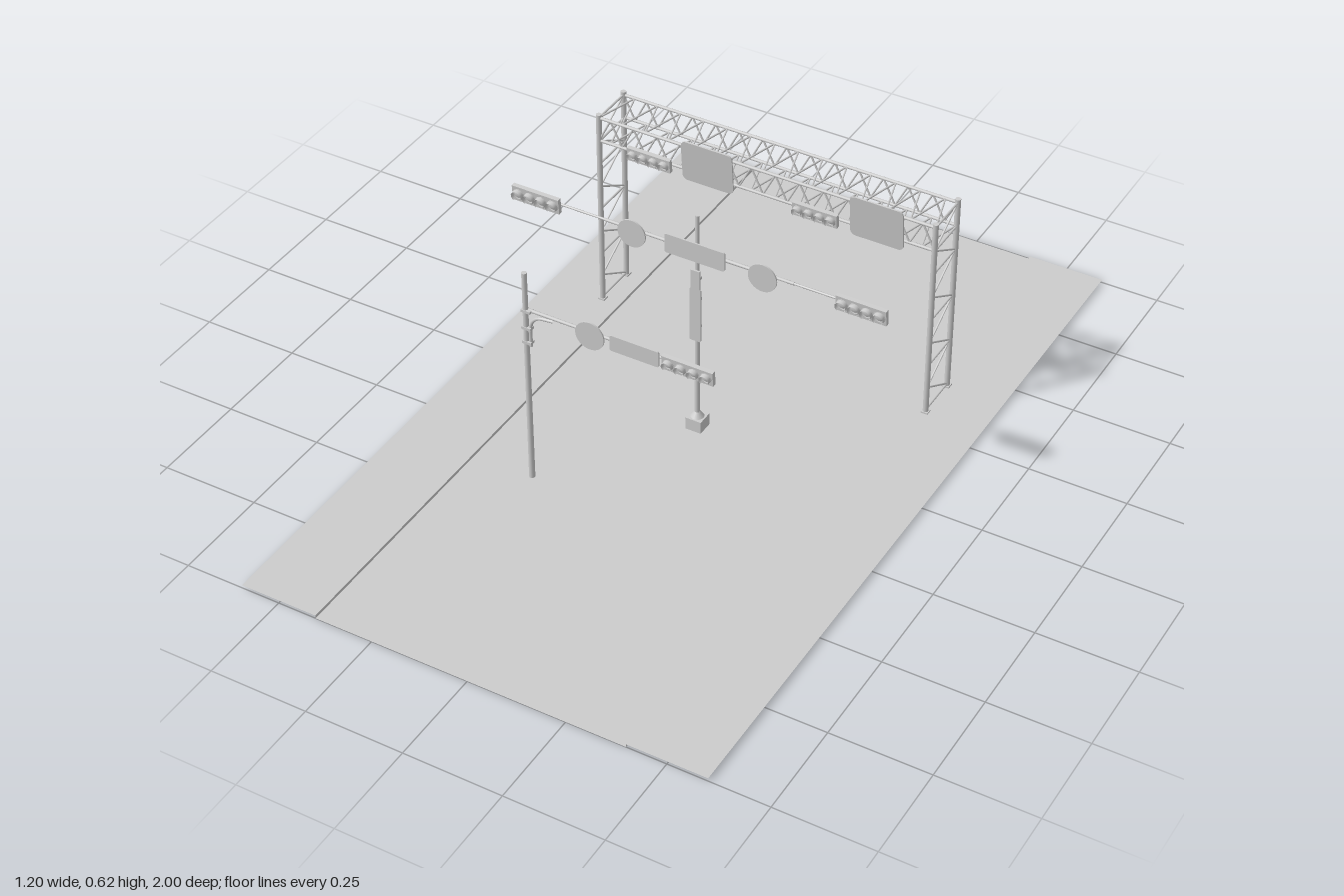
import * as THREE from 'three';

const mat = new THREE.MeshStandardMaterial({ color: 0xcccccc });
const sheetMat = new THREE.MeshStandardMaterial({ color: 0xcccccc, side: THREE.DoubleSide });
const V = (x, y, z) => new THREE.Vector3(x, y, z);

function add(parent, name, geo, x = 0, y = 0, z = 0, m = mat) {
  const mesh = new THREE.Mesh(geo, m);
  mesh.name = name;
  mesh.position.set(x, y, z);
  parent.add(mesh);
  return mesh;
}

function group(parent, name, x = 0, y = 0, z = 0) {
  const g = new THREE.Group();
  g.name = name;
  g.position.set(x, y, z);
  parent.add(g);
  return g;
}

// Round bar between two points, optionally tapered
function rod(parent, name, a, b, r, sides = 8, rEnd = r) {
  const d = b.clone().sub(a);
  const mesh = add(parent, name, new THREE.CylinderGeometry(rEnd, r, d.length(), sides));
  mesh.position.copy(a).addScaledVector(d, 0.5);
  mesh.quaternion.setFromUnitVectors(V(0, 1, 0), d.normalize());
  return mesh;
}

// Thin sign plate with rounded corners, facing +z
function signPanel(parent, name, w, h, x, y, z, corner = 0.012) {
  const s = new THREE.Shape();
  const a = w / 2, b = h / 2, c = corner;
  s.absarc(a - c, b - c, c, 0, Math.PI / 2);
  s.absarc(-a + c, b - c, c, Math.PI / 2, Math.PI);
  s.absarc(-a + c, -b + c, c, Math.PI, Math.PI * 1.5);
  s.absarc(a - c, -b + c, c, Math.PI * 1.5, Math.PI * 2);
  const geo = new THREE.ExtrudeGeometry(s, { depth: 0.004, bevelEnabled: false, curveSegments: 5 });
  geo.translate(0, 0, -0.002);
  return add(parent, name, geo, x, y, z);
}

function discSign(parent, x, y, z) {
  const geo = new THREE.CylinderGeometry(0.037, 0.037, 0.004, 32).rotateX(Math.PI / 2);
  return add(parent, 'roundSign', geo, x, y, z);
}

// Horizontal signal head: housing, four lenses and four hoods
function signalHead(parent, w, h, x, y, z) {
  const g = group(parent, 'signalHead', x, y, z);
  add(g, 'housing', new THREE.BoxGeometry(w, h, 0.011));
  add(g, 'mountBracket', new THREE.BoxGeometry(0.012, h * 0.5, 0.01), 0, 0, -0.009);
  const r = h * 0.33, step = w * 0.245;
  for (let i = 0; i < 4; i++) {
    const lx = (i - 1.5) * step;
    const lens = new THREE.SphereGeometry(r * 0.72, 14, 5, 0, Math.PI * 2, 0, Math.PI / 2);
    lens.rotateX(Math.PI / 2).scale(1, 1, 0.35);
    add(g, 'lens', lens, lx, 0, 0.0055);
    // hood is open at the bottom
    const hood = new THREE.CylinderGeometry(r, r, 0.012, 18, 1, true, Math.PI * 0.2, Math.PI * 1.6);
    hood.rotateX(Math.PI / 2);
    add(g, 'hood', hood, lx, 0, 0.0115, sheetMat);
    add(g, 'lensRing', new THREE.TorusGeometry(r, 0.0012, 5, 18), lx, 0, 0.0058);
  }
  g.rotation.x = 0.1;
  return g;
}

// Road sheet with a raised pavement and kerb face on either side
function buildGround(root) {
  const g = group(root, 'ground');
  const flat = w => new THREE.PlaneGeometry(w, 2).rotateX(-Math.PI / 2);
  const kerb = 0.008;
  add(g, 'road', flat(0.8), 0, 0, 0, sheetMat);
  for (const s of [-1, 1]) {
    add(g, 'pavement', flat(0.2), s * 0.5, kerb, 0, sheetMat);
    const face = new THREE.PlaneGeometry(2, kerb).rotateY(-s * Math.PI / 2);
    add(g, 'kerbFace', face, s * 0.4, kerb / 2, 0, sheetMat);
  }
}

// Lattice gantry spanning the road
function buildGantry(root) {
  const g = group(root, 'gantry');
  const zF = -0.31, zB = -0.425, yT = 0.55, yB = 0.485, X = 0.45, thin = 0.0024;

  for (const s of [-1, 1]) {
    const leg = group(g, 'gantryLeg', s * X, 0, 0);
    for (const z of [zF, zB]) {
      rod(leg, 'legPost', V(0, 0, z), V(0, 0.56, z), 0.007, 12);
      add(leg, 'footPlate', new THREE.BoxGeometry(0.018, 0.012, 0.018), 0, 0.006, z);
    }
    // cross bars and zigzag bracing
    const y0 = 0.015, n = 8, dy = (yT - y0) / n;
    for (let i = 0; i <= n; i++) {
      const y = y0 + i * dy;
      if (i % 2 === 0 || i === 7) rod(leg, 'legCrossBar', V(0, y, zF), V(0, y, zB), 0.003);
      if (i < n) {
        const [a, b] = i % 2 ? [zF, zB] : [zB, zF];
        rod(leg, 'legBrace', V(0, y, a), V(0, y + dy, b), thin);
      }
    }
  }

  const beam = group(g, 'gantryBeam');
  for (const y of [yB, yT])
    for (const z of [zF, zB]) rod(beam, 'chord', V(-X, y, z), V(X, y, z), 0.0042, 10);

  // zigzag bracing on all four sides, opposite sides out of step
  const bays = 28, dx = 2 * X / bays;
  for (let i = 0; i < bays; i++) {
    const a = -X + i * dx, b = a + dx;
    const up = i % 2 === 0;
    const [z1, z2] = up ? [zF, zB] : [zB, zF];
    const [y1, y2] = up ? [yB, yT] : [yT, yB];
    rod(beam, 'topBrace', V(a, yT, z1), V(b, yT, z2), thin, 6);
    rod(beam, 'bottomBrace', V(a, yB, z2), V(b, yB, z1), thin, 6);
    rod(beam, 'frontBrace', V(a, y1, zF), V(b, y2, zF), thin, 6);
    rod(beam, 'backBrace', V(a, y2, zB), V(b, y1, zB), thin, 6);
  }

  for (const x of [-0.145, 0.305]) {
    signPanel(g, 'largeSign', 0.138, 0.115, x, 0.517, -0.3, 0.014).rotation.x = 0.09;
    for (const s of [-0.04, 0.04])
      rod(g, 'signStrut', V(x + s, 0.47, -0.305), V(x + s, 0.56, -0.302), 0.003);
  }
  for (const x of [-0.304, 0.145]) signalHead(g, 0.118, 0.037, x, 0.485, -0.3);
}

// Central T-shaped mast
function buildCentreMast(root) {
  const g = group(root, 'centreMast');
  add(g, 'baseBlock', new THREE.BoxGeometry(0.042, 0.033, 0.042), 0, 0.0165, 0);
  add(g, 'baseCollar', new THREE.CylinderGeometry(0.007, 0.017, 0.014, 16), 0, 0.04, 0);
  rod(g, 'mastPole', V(0, 0.03, 0), V(0, 0.617, 0), 0.0065, 16, 0.005);
  signPanel(g, 'uprightSign', 0.029, 0.15, 0, 0.34, 0.009, 0.003);
  add(g, 'upperPlate', new THREE.BoxGeometry(0.024, 0.055, 0.005), 0, 0.44, 0.009);
  for (const y of [0.3, 0.38, 0.44])
    add(g, 'poleClamp', new THREE.BoxGeometry(0.016, 0.008, 0.016), 0, y, 0);
  add(g, 'armClamp', new THREE.BoxGeometry(0.026, 0.022, 0.018), 0, 0.515, 0);

  for (const s of [-1, 1]) {
    rod(g, 'arm', V(0, 0.515, -0.003), V(s * 0.25, 0.515, -0.003), 0.005, 10, 0.004);
    rod(g, 'armEnd', V(s * 0.25, 0.515, -0.003), V(s * 0.47, 0.515, -0.003), 0.003, 8);
    discSign(g, s * 0.172, 0.507, 0.004);
    signalHead(g, 0.127, 0.042, s * 0.427, 0.517, 0.008);
  }
  signPanel(g, 'centreSign', 0.158, 0.052, 0, 0.521, 0.012, 0.005);
}

// Roadside pole with a single cantilever arm
function buildCantilever(root) {
  const g = group(root, 'cantileverPole', 0, 0, 0.35);
  const px = -0.243, y = 0.488;
  rod(g, 'pole', V(px, 0, 0), V(px, 0.592, 0), 0.0075, 16, 0.0065);
  rod(g, 'arm', V(px, y, -0.003), V(0.2, y, -0.003), 0.0045, 10, 0.0035);
  const bend = new THREE.CatmullRomCurve3([
    V(-0.231, 0.39, 0), V(-0.231, 0.44, 0), V(-0.226, 0.46, 0), V(-0.21, 0.475, 0), V(-0.17, 0.481, -0.001),
  ]);
  add(g, 'curvedBrace', new THREE.TubeGeometry(bend, 20, 0.0042, 8));
  for (const cy of [0.4, 0.44, y])
    add(g, 'poleClamp', new THREE.BoxGeometry(0.024, 0.007, 0.016), px + 0.004, cy, 0);
  discSign(g, -0.072, 0.483, 0.004);
  signPanel(g, 'armSign', 0.126, 0.042, 0.043, 0.485, 0.004, 0.005);
  signalHead(g, 0.129, 0.038, 0.184, 0.492, 0.01);
}

export function createModel() {
  const root = new THREE.Group();
  root.name = 'roadSignals';
  buildGround(root);
  buildGantry(root);
  buildCentreMast(root);
  buildCantilever(root);
  return root;
}
